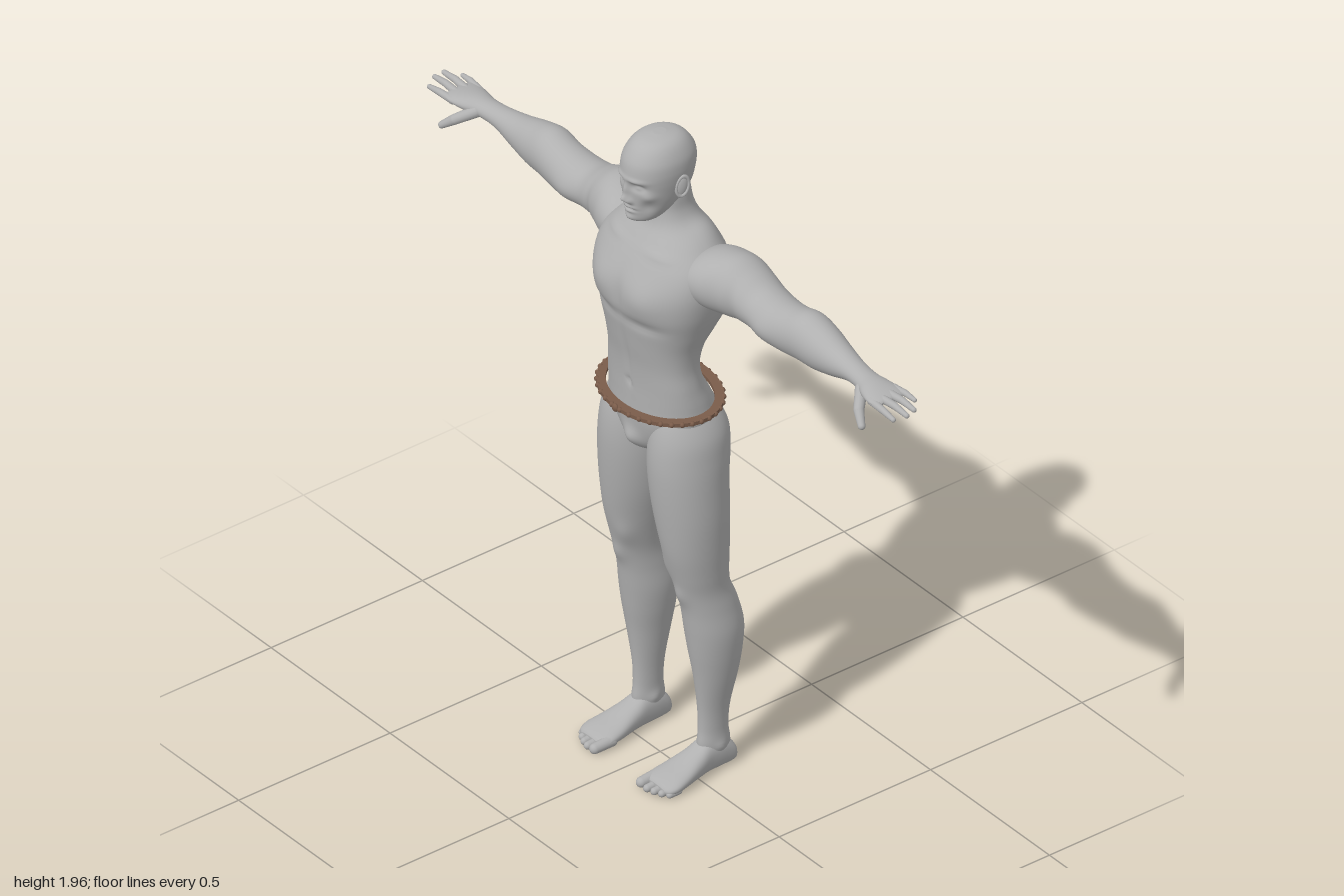
import * as THREE from 'three';

const skin = new THREE.MeshStandardMaterial({ color: 0xb0b0b0 });
skin.name = 'grey skin';
const leather = new THREE.MeshStandardMaterial({ color: 0x7a5c4a });
leather.name = 'brown leather';

const spline = (a, b, c, d, s) =>
  0.5 * (2 * b + (c - a) * s + (2 * a - 5 * b + 4 * c - d) * s * s + (3 * b - a - 3 * c + d) * s * s * s);

// Smooth closed body through sections [t, uMin, uMax, vMin, vMax].
// Axis x: u = y, v = z.  Axis y: u = z, v = x.  Axis z: u = x, v = y.
// Bumps [centre xyz, spread xyz, push xyz] model the muscles and features.
function loft(axis, rows, { segs = 64, steps = 6, power = 2, bumps = [], symmetric = false } = {}) {
  const all = bumps.slice();
  if (symmetric) for (const b of bumps) if (b[0]) all.push(b.map((n, i) => (i === 0 || i === 6 ? -n : n)));
  const rings = [];
  for (let i = 0; i < rows.length - 1; i++) {
    const r = [-1, 0, 1, 2].map(k => rows[THREE.MathUtils.clamp(i + k, 0, rows.length - 1)]);
    const count = i === rows.length - 2 ? steps + 1 : steps;
    for (let k = 0; k < count; k++) {
      rings.push(r[0].map((_, c) => spline(r[0][c], r[1][c], r[2][c], r[3][c], k / steps)));
    }
  }
  const pos = [], index = [];
  const add = (t, u, v) => {
    const p = axis === 'x' ? [t, u, v] : axis === 'y' ? [v, t, u] : [u, v, t];
    const q = p.slice();
    for (const b of all) {
      const d = ((p[0] - b[0]) / b[3]) ** 2 + ((p[1] - b[1]) / b[4]) ** 2 + ((p[2] - b[2]) / b[5]) ** 2;
      if (d > 12) continue;
      const w = Math.exp(-d);
      for (let c = 0; c < 3; c++) q[c] += b[6 + c] * w;
    }
    pos.push(...q);
  };
  const round = s => Math.sign(s) * Math.abs(s) ** (2 / power);
  for (const [t, u0, u1, v0, v1] of rings) {
    for (let j = 0; j < segs; j++) {
      const a = (j / segs) * Math.PI * 2;
      add(t, (u0 + u1) / 2 + ((u1 - u0) / 2) * round(Math.cos(a)), (v0 + v1) / 2 + ((v1 - v0) / 2) * round(Math.sin(a)));
    }
  }
  for (let i = 0; i < rings.length - 1; i++) {
    for (let j = 0; j < segs; j++) {
      const a = i * segs + j, b = i * segs + ((j + 1) % segs);
      index.push(a, b, a + segs, b, b + segs, a + segs);
    }
  }
  // end caps
  for (const i of [0, rings.length - 1]) {
    const [t, u0, u1, v0, v1] = rings[i], centre = pos.length / 3;
    add(t, (u0 + u1) / 2, (v0 + v1) / 2);
    for (let j = 0; j < segs; j++) {
      const a = i * segs + j, b = i * segs + ((j + 1) % segs);
      if (i === 0) index.push(centre, b, a);
      else index.push(centre, a, b);
    }
  }
  const g = new THREE.BufferGeometry();
  g.setAttribute('position', new THREE.Float32BufferAttribute(pos, 3));
  g.setIndex(index);
  g.computeVertexNormals();
  return g;
}

// Tapered round-ended segment between two points.
function digit(from, to, r0, r1) {
  const a = new THREE.Vector3(...from), dir = new THREE.Vector3(...to).sub(a), len = dir.length();
  const profile = [];
  for (let i = 0; i <= 12; i++) {
    const t = -Math.PI / 2 + (i / 12) * Math.PI, r = i <= 6 ? r0 : r1;
    profile.push(new THREE.Vector2(Math.max(0, r * Math.cos(t)), (i <= 6 ? 0 : len) + r * Math.sin(t)));
    if (i === 6) profile.push(new THREE.Vector2(r1, len));
  }
  const q = new THREE.Quaternion().setFromUnitVectors(new THREE.Vector3(0, 1, 0), dir.normalize());
  return new THREE.LatheGeometry(profile, 14).applyQuaternion(q).translate(a.x, a.y, a.z);
}

function mirrored(g) {
  const m = g.clone().scale(-1, 1, 1), ix = m.index;
  for (let i = 0; i < ix.count; i += 3) {
    const b = ix.getX(i + 1);
    ix.setX(i + 1, ix.getX(i + 2));
    ix.setX(i + 2, b);
  }
  return m;
}

export function createModel() {
  const model = new THREE.Group();
  const put = (name, g, mat = skin) => {
    const mesh = new THREE.Mesh(g, mat);
    mesh.name = name;
    model.add(mesh);
  };
  const pair = (name, g) => {
    put('left ' + name, g);
    put('right ' + name, mirrored(g));
  };
  const even = ([y, z0, z1, w]) => [y, z0, z1, -w, w];

  // Torso and neck
  const torso = [
    [0.985, -0.02, 0.05, 0.015], [1.0, -0.06, 0.075, 0.06], [1.04, -0.1, 0.093, 0.12], [1.1, -0.122, 0.103, 0.165],
    [1.16, -0.105, 0.104, 0.166], [1.22, -0.075, 0.105, 0.158], [1.28, -0.068, 0.11, 0.15], [1.34, -0.085, 0.12, 0.156],
    [1.4, -0.115, 0.13, 0.175], [1.47, -0.138, 0.143, 0.196], [1.54, -0.147, 0.138, 0.205], [1.6, -0.147, 0.112, 0.195],
    [1.65, -0.13, 0.08, 0.15], [1.69, -0.105, 0.054, 0.095], [1.73, -0.09, 0.045, 0.07], [1.78, -0.08, 0.04, 0.064],
    [1.84, -0.07, 0.03, 0.055]];
  put('torso', loft('y', torso.map(even), {
    segs: 112, power: 2.2, symmetric: true, bumps: [
      [0.085, 1.51, 0.13, 0.06, 0.05, 0.06, 0, 0, 0.011], // chest
      [0, 1.5, 0.14, 0.013, 0.06, 0.05, 0, 0, -0.006],
      [0.08, 1.43, 0.13, 0.07, 0.016, 0.06, 0, 0, -0.008],
      [0, 1.3, 0.12, 0.01, 0.1, 0.05, 0, 0, -0.005], // belly
      [0, 1.21, 0.105, 0.008, 0.009, 0.03, 0, 0, -0.008],
      [0, 1.03, 0.09, 0.03, 0.03, 0.05, 0, 0, 0.018],
      [0.1, 1.635, 0.08, 0.06, 0.01, 0.04, 0, 0, 0.006], // collarbone
      [0.17, 1.47, -0.08, 0.04, 0.08, 0.05, 0.01, 0, -0.005], // back
      [0, 1.4, -0.12, 0.018, 0.2, 0.06, 0, 0, 0.013],
      [0.1, 1.55, -0.14, 0.05, 0.06, 0.05, 0, 0, -0.008],
      [0.04, 1.25, -0.07, 0.025, 0.08, 0.04, 0, 0, -0.007],
      [0.08, 1.075, -0.12, 0.06, 0.05, 0.06, 0, 0, -0.014], // buttocks
      [0, 1.06, -0.12, 0.014, 0.06, 0.06, 0, 0, 0.025],
      [0.11, 1.67, -0.06, 0.05, 0.03, 0.06, 0, 0.01, 0]]
  }));

  // Head and face
  const head = [
    [1.711, 0.03, 0.085, 0.022], [1.724, 0, 0.1, 0.044], [1.75, -0.04, 0.105, 0.06], [1.78, -0.07, 0.108, 0.071],
    [1.81, -0.088, 0.11, 0.078], [1.84, -0.096, 0.113, 0.083], [1.87, -0.1, 0.112, 0.085], [1.9, -0.096, 0.104, 0.081],
    [1.93, -0.077, 0.083, 0.066], [1.947, -0.052, 0.057, 0.046], [1.955, -0.015, 0.02, 0.015]];
  put('head', loft('y', head.map(even), {
    segs: 160, steps: 9, power: 2.1, symmetric: true, bumps: [
      [0, 1.815, 0.115, 0.01, 0.025, 0.04, 0, 0, 0.011], // nose
      [0, 1.79, 0.115, 0.012, 0.012, 0.04, 0, 0, 0.017],
      [0.013, 1.784, 0.11, 0.007, 0.008, 0.04, 0, 0, 0.008],
      [0.033, 1.832, 0.1, 0.019, 0.011, 0.04, 0, 0, -0.014], // eyes
      [0.033, 1.83, 0.1, 0.01, 0.006, 0.04, 0, 0, 0.007],
      [0.03, 1.852, 0.1, 0.026, 0.007, 0.04, 0, 0, 0.006],
      [0.055, 1.805, 0.08, 0.015, 0.015, 0.03, 0.004, 0, 0.004],
      [0.05, 1.77, 0.08, 0.015, 0.02, 0.03, -0.004, 0, -0.004],
      [0, 1.764, 0.11, 0.02, 0.005, 0.04, 0, 0, 0.007], // mouth
      [0, 1.757, 0.11, 0.022, 0.0035, 0.04, 0, 0, -0.006],
      [0, 1.75, 0.11, 0.017, 0.005, 0.04, 0, 0, 0.006],
      [0, 1.726, 0.1, 0.018, 0.012, 0.04, 0, 0, 0.007]]
  }));
  pair('ear', new THREE.SphereGeometry(1, 20, 14).scale(0.008, 0.031, 0.018)
    .rotateY(-0.3).rotateX(-0.2).translate(0.083, 1.822, -0.004));
  pair('ear rim', new THREE.TorusGeometry(0.02, 0.004, 8, 28).scale(0.85, 1.45, 1)
    .rotateY(Math.PI / 2 - 0.3).rotateX(-0.2).translate(0.088, 1.824, -0.005));

  // Arms down to the palms
  const arm = [
    [0.1, 1.53, 1.62, -0.12, 0.03], [0.16, 1.5, 1.652, -0.145, 0.05], [0.21, 1.492, 1.664, -0.151, 0.045],
    [0.26, 1.492, 1.664, -0.152, 0.025], [0.31, 1.497, 1.643, -0.148, 0.008], [0.36, 1.495, 1.622, -0.143, -0.003],
    [0.42, 1.49, 1.62, -0.138, 0], [0.48, 1.49, 1.628, -0.133, -0.002], [0.54, 1.495, 1.64, -0.134, -0.006],
    [0.6, 1.497, 1.628, -0.13, -0.013], [0.67, 1.515, 1.61, -0.115, -0.022], [0.74, 1.54, 1.6, -0.097, -0.027],
    [0.8, 1.548, 1.597, -0.09, -0.02], [0.84, 1.552, 1.597, -0.095, -0.004], [0.88, 1.56, 1.592, -0.1, 0.006],
    [0.905, 1.567, 1.587, -0.096, 0.002], [0.913, 1.573, 1.581, -0.08, -0.012]];
  pair('arm', loft('x', arm, {
    bumps: [
      [0.41, 1.54, 0, 0.05, 0.04, 0.05, 0, 0, 0.007],
      [0.37, 1.54, -0.14, 0.06, 0.04, 0.05, 0, 0, -0.006],
      [0.5, 1.57, -0.13, 0.025, 0.03, 0.04, 0, 0, 0.006],
      [0.3, 1.56, 0.01, 0.015, 0.06, 0.04, 0, 0, -0.005]]
  }));

  // Fingers: base, middle and tip with radius, then the thumb
  const fingers = [
    [[0.87, 1.577, -0.087], [0.915, 1.58, -0.092], [0.95, 1.577, -0.094], 0.0105],
    [[0.88, 1.578, -0.06], [0.94, 1.583, -0.062], [0.988, 1.58, -0.062], 0.012],
    [[0.88, 1.577, -0.032], [0.945, 1.58, -0.034], [0.992, 1.575, -0.035], 0.012],
    [[0.88, 1.574, -0.006], [0.935, 1.572, -0.004], [0.975, 1.566, -0.004], 0.0115],
    [[0.81, 1.567, -0.028], [0.85, 1.537, 0.012], [0.882, 1.51, 0.028], 0.017]];
  fingers.forEach(([a, b, c, r], i) => {
    const name = i === 4 ? 'thumb' : 'finger ' + (i + 1);
    pair(name + ' base', digit(a, b, r, r * 0.85));
    pair(name + ' tip', digit(b, c, r * 0.85, r * 0.6));
  });

  // Legs
  const leg = [
    [0.03, -0.12, -0.03, 0.11, 0.16], [0.08, -0.118, -0.018, 0.106, 0.168], [0.13, -0.112, -0.022, 0.107, 0.166],
    [0.2, -0.118, -0.02, 0.103, 0.171], [0.3, -0.138, -0.008, 0.09, 0.19], [0.38, -0.15, 0.005, 0.076, 0.202],
    [0.45, -0.153, 0.015, 0.068, 0.206], [0.52, -0.138, 0.025, 0.07, 0.198], [0.58, -0.118, 0.038, 0.07, 0.192],
    [0.64, -0.112, 0.055, 0.06, 0.196], [0.72, -0.115, 0.075, 0.042, 0.203], [0.82, -0.118, 0.09, 0.02, 0.208],
    [0.92, -0.12, 0.1, 0.007, 0.206], [1.0, -0.128, 0.102, 0.004, 0.201], [1.07, -0.127, 0.094, 0.01, 0.19],
    [1.13, -0.1, 0.075, 0.03, 0.16], [1.155, -0.06, 0.045, 0.06, 0.13]];
  pair('leg', loft('y', leg, {
    bumps: [
      [0.13, 0.575, 0.04, 0.024, 0.03, 0.04, 0, 0, 0.008], // kneecap
      [0.09, 0.66, 0.04, 0.025, 0.04, 0.04, -0.003, 0, 0.006],
      [0.135, 0.42, -0.15, 0.012, 0.08, 0.04, 0, 0, 0.005], // calf
      [0.13, 0.6, -0.115, 0.03, 0.03, 0.04, 0, 0, 0.008],
      [0.105, 0.085, -0.065, 0.02, 0.015, 0.02, -0.005, 0, 0], // ankle
      [0.168, 0.075, -0.07, 0.02, 0.015, 0.02, 0.005, 0, 0]]
  }));

  // Feet and toes
  const foot = [
    [-0.132, 0.125, 0.15, 0.015, 0.035], [-0.125, 0.112, 0.163, 0.004, 0.06], [-0.09, 0.105, 0.168, 0, 0.09],
    [-0.04, 0.1, 0.172, 0, 0.095], [0, 0.095, 0.18, 0, 0.076], [0.05, 0.086, 0.191, 0, 0.055],
    [0.09, 0.082, 0.197, 0, 0.042], [0.115, 0.085, 0.19, 0.002, 0.032], [0.124, 0.1, 0.175, 0.008, 0.024]];
  pair('foot', loft('z', foot, { power: 2.3, segs: 48 }));
  const toes = [[0.098, 0.139, 0.015], [0.125, 0.141, 0.011], [0.147, 0.135, 0.0105], [0.167, 0.126, 0.01], [0.184, 0.113, 0.0095]];
  toes.forEach(([x, z, r], i) => pair('toe ' + (i + 1), digit([x, r * 1.2, 0.085], [x, r, z], r * 1.15, r)));

  // Belt: a flat ring with beads round the edge and a small clasp
  const ring = new THREE.Shape().absellipse(0, 0, 0.192, 0.149, 0, Math.PI * 2);
  ring.holes.push(new THREE.Path().absellipse(0, 0, 0.168, 0.123, 0, Math.PI * 2));
  put('belt', new THREE.ExtrudeGeometry(ring, { depth: 0.011, bevelEnabled: false, curveSegments: 48 })
    .rotateX(-Math.PI / 2).translate(0, 1.14, 0), leather);
  for (let i = 0; i < 36; i++) {
    const a = ((i + 0.5) / 36) * Math.PI * 2;
    put('belt bead', new THREE.SphereGeometry(0.0075, 10, 8)
      .translate(0.19 * Math.cos(a), 1.1455, 0.147 * Math.sin(a)), leather);
  }
  put('belt clasp', new THREE.SphereGeometry(0.012, 14, 10).scale(1, 1, 0.6).translate(0, 1.1455, 0.149), leather);
  return model;
}
